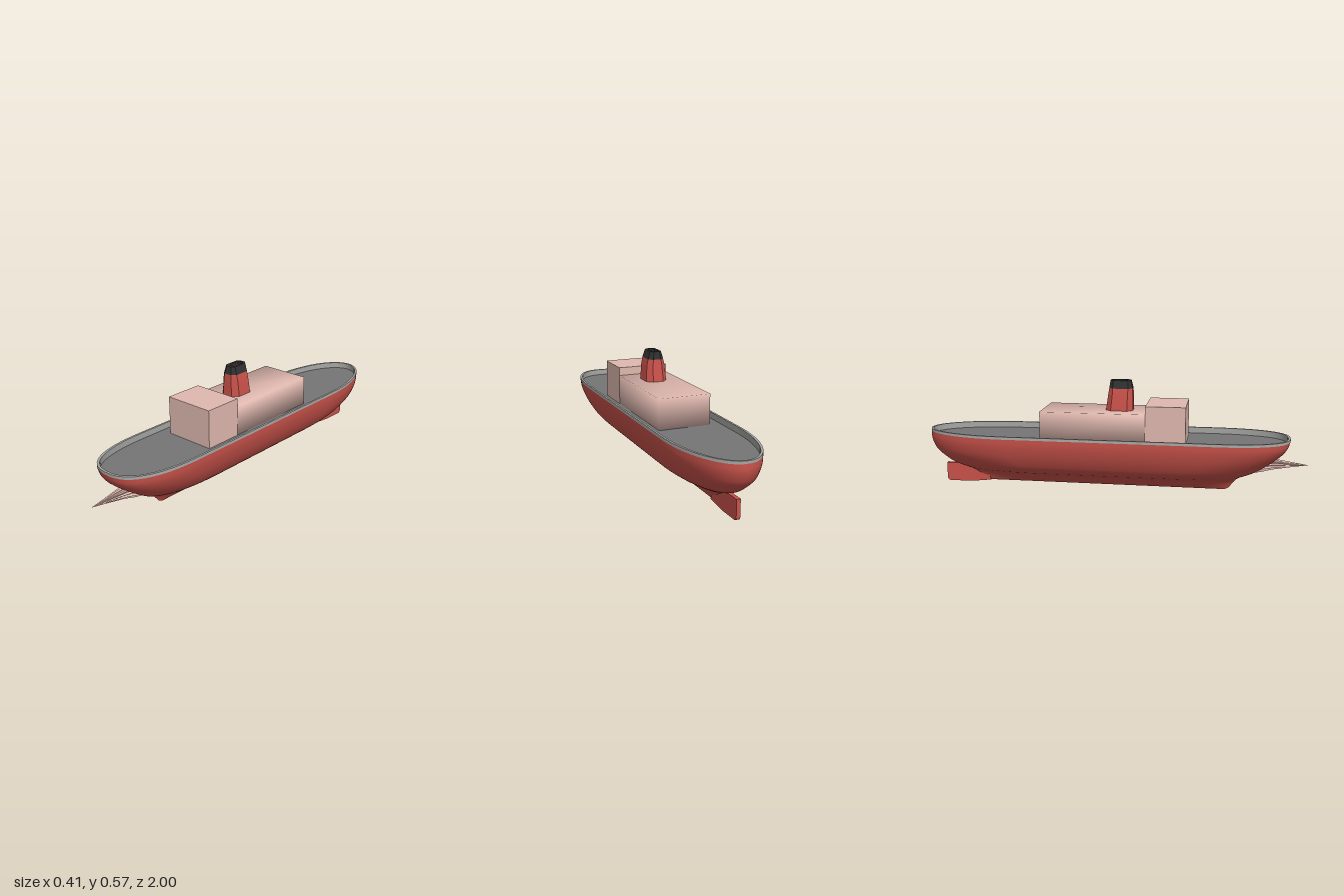
import * as THREE from 'three';
import { mergeVertices, toCreasedNormals } from 'three/addons/utils/BufferGeometryUtils.js';

const paint = (name, color) => {
  const m = new THREE.MeshStandardMaterial({ color });
  m.name = name;
  return m;
};

// Skin a list of closed rings, each an array of [x, y, z]
function loft(rings, crease) {
  const n = rings[0].length, index = [];
  for (let r = 0; r < rings.length - 1; r++) {
    for (let i = 0; i < n; i++) {
      const a = r * n + i, b = r * n + (i + 1) % n;
      index.push(a, b, a + n, b, b + n, a + n);
    }
  }
  const g = new THREE.BufferGeometry();
  g.setAttribute('position', new THREE.Float32BufferAttribute(rings.flat(2), 3));
  g.setIndex(index);
  g.computeVertexNormals();
  return crease === undefined ? g : toCreasedNormals(g, crease);
}

// Ship outline at one height: straight sides, blunt bow, rounder stern
function outline(y, w, bow, stern) {
  const ring = [], q = 24, bowLen = 0.4, sternLen = 0.45;
  for (let i = 0; i <= 2 * q; i++) {
    const t = i / (2 * q) * Math.PI, c = Math.cos(t);
    ring.push([w * Math.sign(c) * Math.abs(c) ** 0.8, y, bow - bowLen + bowLen * Math.abs(Math.sin(t)) ** 0.8]);
  }
  for (let i = 0; i <= 2 * q; i++) {
    const t = i / (2 * q) * Math.PI;
    ring.push([-w * Math.cos(t), y, stern + sternLen - sternLen * Math.sin(t)]);
  }
  return ring;
}

// Chamfered rectangle for the funnel
function chamfered(y, hx, back, front) {
  const c = hx * 0.5;
  return [[hx, back + c], [hx, front - c], [hx - c, front], [c - hx, front],
    [-hx, front - c], [-hx, back + c], [c - hx, back], [hx - c, back]].map(([x, z]) => [x, y, z]);
}

export function createModel() {
  const ship = new THREE.Group();
  ship.name = 'ship';
  const red = paint('hull red', 0xc9524a), grey = paint('rim grey', 0xa6a6a4);
  const deckGrey = paint('deck grey', 0x757575), pink = paint('pale pink', 0xdfb8af);
  const black = paint('funnel black', 0x303030);
  const add = (name, geometry, material, parent = ship) => {
    const m = new THREE.Mesh(geometry, material);
    m.name = name;
    parent.add(m);
    return m;
  };

  // Hull levels: height, half width, bow z, stern z
  const levels = [
    [0.284, 0.202, 0.905, -1], [0.25, 0.2, 0.895, -1], [0.215, 0.193, 0.868, -0.99],
    [0.18, 0.182, 0.828, -0.97], [0.145, 0.166, 0.78, -0.93], [0.115, 0.147, 0.73, -0.885],
    [0.09, 0.118, 0.67, -0.82], [0.075, 0.085, 0.645, -0.78], [0.06, 0.048, 0.63, -0.76],
    [0.04, 0.026, 0.615, -0.74], [0.022, 0.01, 0.6, -0.72], [0.012, 0, 0.58, -0.7],
  ];
  const spline = new THREE.CubicInterpolant(levels.map((_, i) => i), levels.flat(), 4);
  const rings = [];
  for (let i = 0; i <= 44; i++) {
    rings.push(outline(...spline.evaluate(i / 44 * (levels.length - 1))));
  }
  // Round recess in the bow for the spike
  for (const p of rings.flat()) {
    const d = Math.hypot(p[0], p[1] - 0.155);
    if (p[2] > 0.5) p[2] -= 0.09 * (1 - THREE.MathUtils.smoothstep(d, 0.045, 0.062));
  }
  add('hull', loft(rings), red);

  // Rim with its inner wall, and the sunken deck
  const inner = y => outline(y, 0.191, 0.894, -0.989);
  add('rim', loft([inner(0.262), inner(0.297), outline(0.297, 0.202, 0.906, -1), outline(0.283, 0.203, 0.906, -1)], 0.7), grey);
  const edge = inner(0.265);
  add('deck', loft([edge.map(([, y, z]) => [0, y, z]), edge]), deckGrey);

  // Bow spike with a twelve-pointed section
  const star = (z, r, depth, turn) => Array.from({ length: 24 }, (_, i) => {
    const a = (i + turn) / 24 * Math.PI * 2, k = i % 2 ? r * (1 - depth) : r;
    return [k * Math.sin(a), 0.158 + k * Math.cos(a), z];
  });
  add('bowSpike', loft([star(1, 0, 0, 0), star(0.9, 0.016, 0.2, 0), star(0.82, 0.03, 0.25, 0),
    star(0.76, 0.046, 0.25, 0), star(0.69, 0.056, 0.25, 0)].reverse(), 0.3), pink).material.side = THREE.DoubleSide;

  // Rudder
  const s = new THREE.Shape();
  s.moveTo(-0.68, 0.012);
  s.lineTo(-0.79, 0);
  s.lineTo(-0.905, 0);
  s.quadraticCurveTo(-0.925, 0, -0.925, 0.02);
  s.lineTo(-0.925, 0.1);
  s.lineTo(-0.7, 0.1);
  const rudder = new THREE.ExtrudeGeometry(s, { depth: 0.02, bevelEnabled: false });
  rudder.rotateY(-Math.PI / 2).translate(0.01, 0, 0);
  add('rudder', rudder, red);

  // Bridge: crisp block; long cabin: block with softened shading
  add('bridge', new THREE.BoxGeometry(0.27, 0.2, 0.205).translate(0, 0.363, 0.2775), pink);
  let cabin = new THREE.BoxGeometry(0.27, 0.157, 0.545).translate(0, 0.3425, -0.0975);
  cabin.deleteAttribute('normal');
  cabin.deleteAttribute('uv');
  cabin = mergeVertices(cabin);
  cabin.computeVertexNormals();
  add('cabin', cabin, pink);

  // Funnel: red body, black cap, red opening
  const funnel = new THREE.Group();
  funnel.name = 'funnel';
  ship.add(funnel);
  const joint = chamfered(0.535, 0.042, -0.024, 0.097);
  add('funnelBody', loft([joint, chamfered(0.5, 0.049, -0.029, 0.099), chamfered(0.41, 0.057, -0.042, 0.1)], 0.4), red, funnel);
  const lip = (y, hx) => chamfered(y, hx, -0.008, 0.07);
  add('funnelCap', loft([lip(0.55, 0.017), lip(0.575, 0.017), chamfered(0.575, 0.029, -0.018, 0.088), joint], 0.4), black, funnel);
  const mouth = lip(0.56, 0.017);
  add('funnelMouth', loft([mouth.map(([, y]) => [0, y, 0.031]), mouth], 0.4), red, funnel);

  return ship;
}
